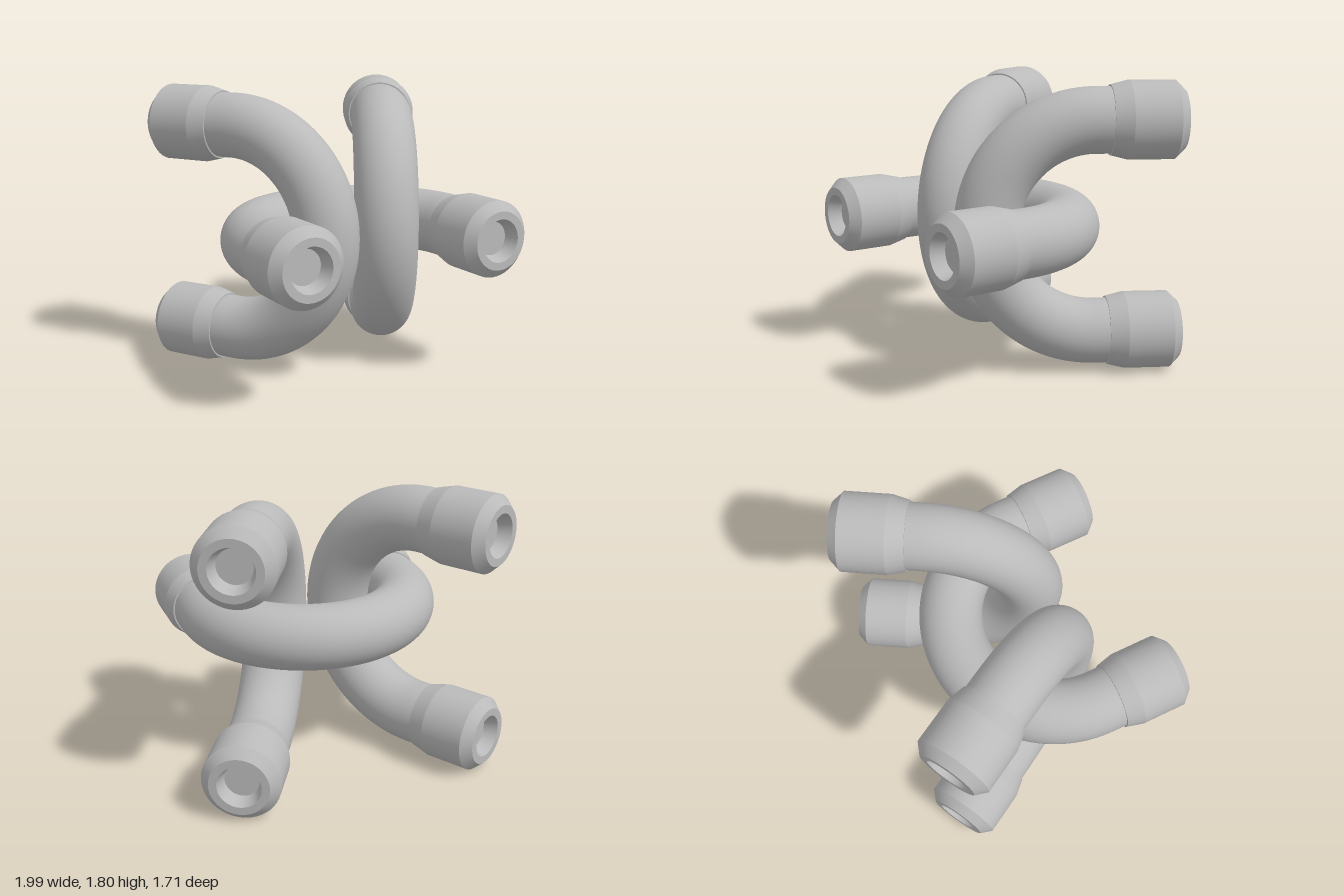
import * as THREE from 'three';
import { toCreasedNormals } from 'three/addons/utils/BufferGeometryUtils.js';

const BEND = 0.66;      // centreline radius of the bend
const TUBE = 0.203;     // tube radius
const ARC_Z = 0.317;    // where the bend turns into straight legs
const SOCKET_Z = 0.4;   // where the end socket starts

export function createModel() {
  const grey = new THREE.MeshStandardMaterial({ color: 0xbababa });
  grey.name = 'grey';

  // Half-circle bend, opening towards +z
  const bendGeo = new THREE.TorusGeometry(BEND, TUBE, 48, 72, Math.PI)
    .rotateX(-Math.PI / 2).translate(0, 0, ARC_Z);

  // Short straight leg between bend and socket
  const legLength = SOCKET_Z - ARC_Z + 0.01;
  const legGeo = new THREE.CylinderGeometry(TUBE, TUBE, legLength, 48, 1, true)
    .rotateX(Math.PI / 2).translate(0, 0, ARC_Z + legLength / 2);

  // Tapered, chamfered socket with a shallow conical hole
  const profile = [
    [0.19, 0.4], [0.2125, 0.4], [0.24, 0.51], [0.24, 0.79],
    [0.183, 0.85], [0.134, 0.85], [0.105, 0.765], [0, 0.765],
  ].map(([r, y]) => new THREE.Vector2(r, y));
  const socketGeo = toCreasedNormals(
    new THREE.LatheGeometry(profile, 48).rotateX(Math.PI / 2), 0.2);

  function makeUBend(name) {
    const group = new THREE.Group();
    group.name = name;
    const add = (geo, partName, x = 0) => {
      const mesh = new THREE.Mesh(geo, grey);
      mesh.name = partName;
      mesh.position.x = x;
      group.add(mesh);
    };
    add(bendGeo, 'bend');
    for (const x of [-BEND, BEND]) {
      add(legGeo, 'leg', x);
      add(socketGeo, 'socket', x);
    }
    return group;
  }

  const model = new THREE.Group();
  model.name = 'interlockedPipes';

  // Horizontal bend, open to the front
  const centre = makeUBend('horizontalPipe');
  centre.position.y = 0.903;
  model.add(centre);

  // Two upright bends, open to the back and splayed outwards by 30 degrees
  for (const side of [1, -1]) {
    const pipe = makeUBend(side > 0 ? 'leftPipe' : 'rightPipe');
    pipe.rotation.set(0, side * Math.PI * 5 / 6, Math.PI / 2, 'YXZ');
    pipe.position.set(side * 0.392, 0.903, -0.03);
    model.add(pipe);
  }
  return model;
}
